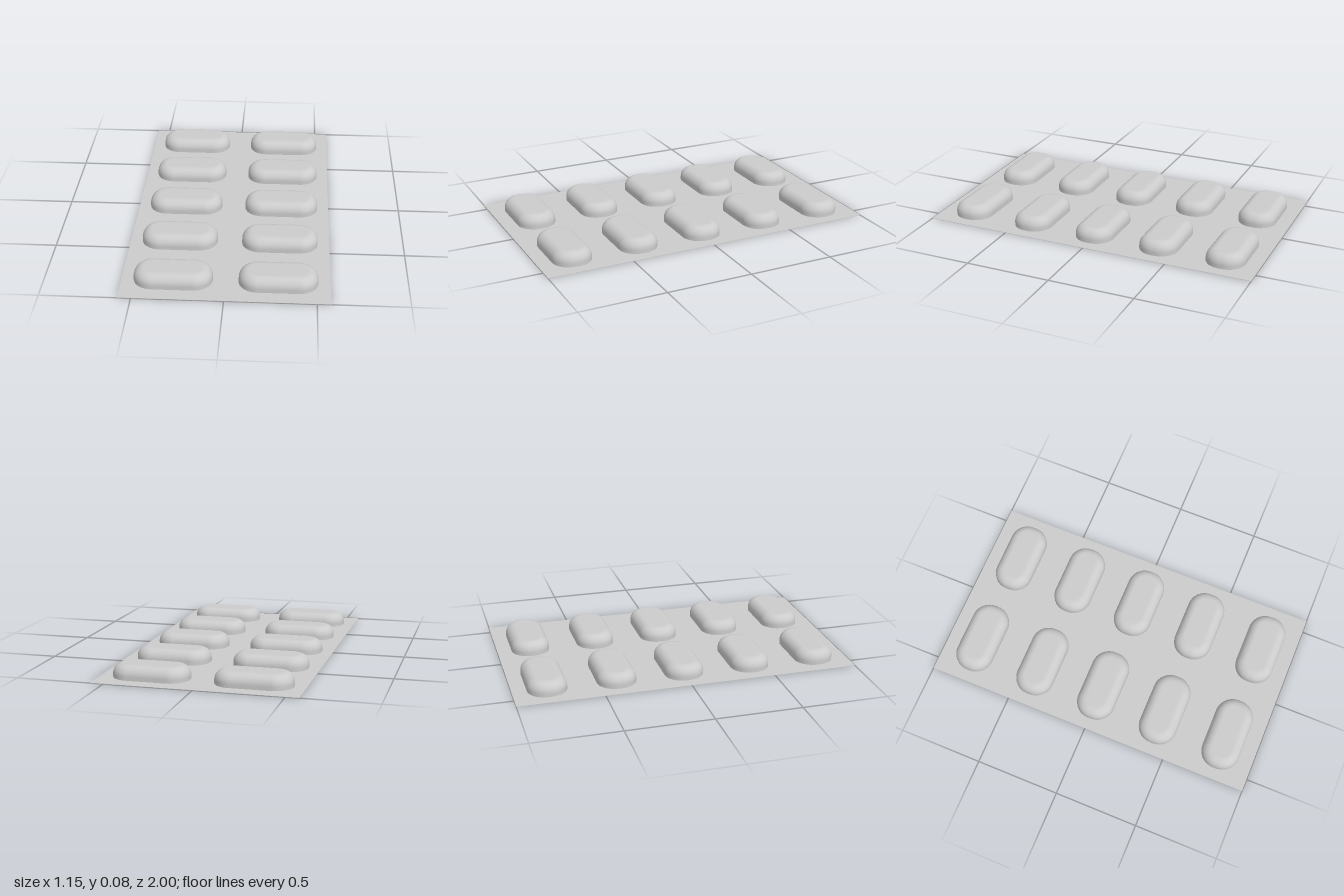
import * as THREE from 'three';

const SHEET = { width: 1.15, length: 2, thickness: 0.002 };
const POCKET = { halfX: 0.218, halfZ: 0.114, height: 0.08, corner: 0.105, bevel: 0.057 };

// Points of a rounded rectangle outline, shrunk evenly by inset
function outline(inset, cornerSteps = 12) {
  const r = POCKET.corner - inset;
  const cx = POCKET.halfX - POCKET.corner;
  const cz = POCKET.halfZ - POCKET.corner;
  const signs = [[1, 1], [-1, 1], [-1, -1], [1, -1]];
  const points = [];
  signs.forEach(([sx, sz], q) => {
    for (let i = 0; i <= cornerSteps; i++) {
      const a = (q + i / cornerSteps) * Math.PI / 2;
      points.push([sx * cx + r * Math.cos(a), sz * cz + r * Math.sin(a)]);
    }
  });
  return points;
}

// Domed pocket: upright wall, quarter-round shoulder, flat top
function pocketGeometry() {
  const { height, bevel } = POCKET;
  const levels = [[0, 0]];
  const steps = 10;
  for (let i = 0; i <= steps; i++) {
    const a = (i / steps) * Math.PI / 2;
    levels.push([bevel * (1 - Math.cos(a)), height - bevel + bevel * Math.sin(a)]);
  }

  const positions = [];
  const index = [];
  let n = 0;
  for (const [inset, y] of levels) {
    const ring = outline(inset);
    n = ring.length;
    for (const [x, z] of ring) positions.push(x, y, z);
  }
  const center = positions.length / 3;
  positions.push(0, height, 0);

  for (let k = 0; k < levels.length; k++) {
    for (let j = 0; j < n; j++) {
      const a = k * n + j;
      const b = k * n + (j + 1) % n;
      if (k === levels.length - 1) index.push(a, center, b);
      else index.push(a, a + n, b, b, a + n, b + n);
    }
  }

  const geometry = new THREE.BufferGeometry();
  geometry.setAttribute('position', new THREE.Float32BufferAttribute(positions, 3));
  geometry.setIndex(index);
  geometry.computeVertexNormals();
  return geometry;
}

export function createModel() {
  const model = new THREE.Group();
  model.name = 'blisterPack';
  const material = new THREE.MeshStandardMaterial({ color: 0xcccccc });

  // Thin backing sheet
  const sheet = new THREE.Mesh(
    new THREE.BoxGeometry(SHEET.width, SHEET.thickness, SHEET.length), material);
  sheet.name = 'backingSheet';
  sheet.position.y = SHEET.thickness / 2;
  model.add(sheet);

  // Two columns of five pockets
  const pockets = new THREE.Group();
  pockets.name = 'pockets';
  const geometry = pocketGeometry();
  for (const side of [-1, 1]) {
    for (let row = -2; row <= 2; row++) {
      const pocket = new THREE.Mesh(geometry, material);
      pocket.name = `${side > 0 ? 'left' : 'right'}Pocket${row + 3}`;
      pocket.position.set(side * 0.289, 0, row * 0.4);
      pockets.add(pocket);
    }
  }
  model.add(pockets);
  return model;
}
